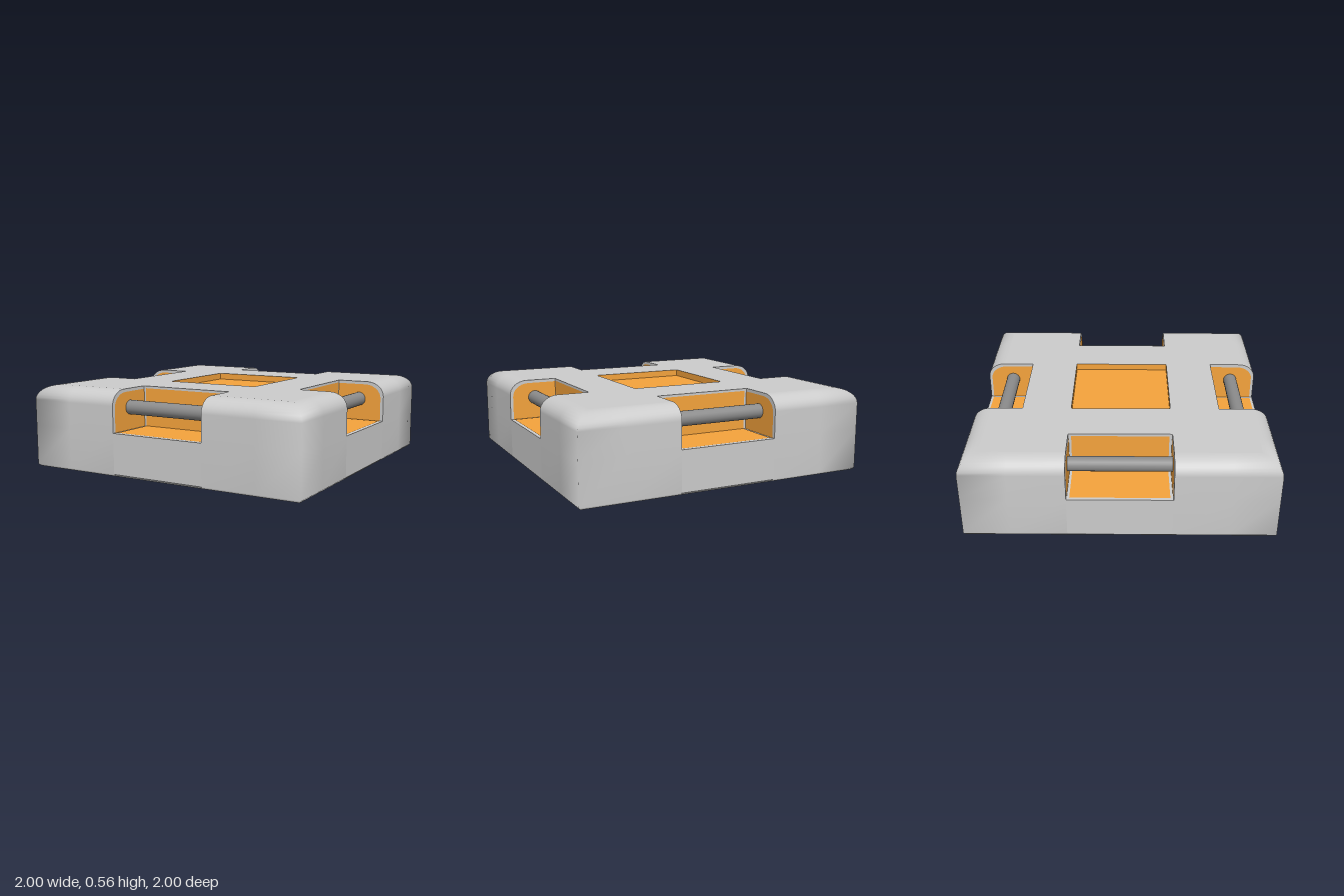
import * as THREE from 'three';

const H = 0.56, HALF = 1;            // body height and half width
const SLOT = 0.335, BACK = 0.665;    // slot half width, slot back wall
const FLOOR = 0.285;                 // slot floor height
const WALL = 0.92, CEIL = 0.2;       // hollow underside
const RX = 0.12, RY = 0.1;           // rounded top edge

const mat = (color) => new THREE.MeshStandardMaterial({ color, side: THREE.DoubleSide });
const grey = mat(0xcccccc);
const orange = mat(0xf5a33c);
const dark = mat(0x8c8c8c);

function add(parent, name, geometry, material, x = 0, y = 0, z = 0) {
  const mesh = new THREE.Mesh(geometry, material);
  mesh.name = name;
  mesh.position.set(x, y, z);
  parent.add(mesh);
  return mesh;
}

const poly = (pts) => new THREE.Shape(pts.map(([x, y]) => new THREE.Vector2(x, y)));
const square = (r) => [[-r, -r], [r, -r], [r, r], [-r, r]];

// Rounded upper edge as [half width, height]
const edge = [];
for (let i = 0; i <= 8; i++) {
  const a = (i / 8) * Math.PI / 2;
  edge.push([HALF - RX + RX * Math.cos(a), H - RY + RY * Math.sin(a)]);
}

// Outer skin around one corner, softly shaded across the upright edge
function cornerGeometry() {
  const rows = [[0.985, 0], [HALF, 0.015], [HALF, FLOOR], ...edge];
  const pos = [], index = [];
  rows.forEach(([w, y]) => {
    [[SLOT, w], [0.7, w], [w, w], [w, 0.7], [w, SLOT]].forEach(([x, z]) => pos.push(x, y, z));
  });
  for (let j = 0; j < rows.length - 1; j++) {
    for (let i = 0; i < 4; i++) {
      const a = j * 5 + i, b = a + 1, c = b + 5, d = a + 5;
      index.push(a, b, c, a, c, d);
    }
  }
  const g = new THREE.BufferGeometry();
  g.setAttribute('position', new THREE.Float32BufferAttribute(pos, 3));
  g.setIndex(index);
  g.computeVertexNormals();
  return g;
}

// Slot cheek in the z-y plane; inset trims its outer and upper borders
function cheekGeometry(inset) {
  const kz = 1 - inset / (HALF - BACK), ky = 1 - inset / (H - FLOOR);
  const pts = [[BACK, FLOOR], [HALF, FLOOR], ...edge, [BACK, H]];
  const shape = poly(pts.map(([z, y]) => [BACK + (z - BACK) * kz, FLOOR + (y - FLOOR) * ky]));
  return new THREE.ShapeGeometry(shape).rotateY(-Math.PI / 2);
}

const flat = (w, d) => new THREE.PlaneGeometry(w, d).rotateX(-Math.PI / 2);

// One side: corner, band below the slot, slot with coloured lining, and bar
function createSide() {
  const side = new THREE.Group();
  side.name = 'side';
  add(side, 'corner', cornerGeometry(), grey);
  add(side, 'lowerBand', new THREE.PlaneGeometry(2 * SLOT, FLOOR - 0.015), grey, 0, (FLOOR + 0.015) / 2, HALF);
  const chamfer = add(side, 'lowerChamfer', new THREE.PlaneGeometry(2 * SLOT, 0.0212), grey, 0, 0.0075, 0.9925);
  chamfer.rotation.x = Math.PI / 4;

  const depth = HALF - BACK, tall = H - FLOOR, e = 0.003;
  add(side, 'slotFloor', flat(2 * SLOT, depth), grey, 0, FLOOR, BACK + depth / 2);
  add(side, 'slotBack', new THREE.PlaneGeometry(2 * SLOT, tall), grey, 0, FLOOR + tall / 2, BACK);
  add(side, 'floorLining', flat(0.63, depth - 0.02), orange, 0, FLOOR + e, BACK + depth / 2 - 0.01);
  add(side, 'backLining', new THREE.PlaneGeometry(0.63, tall - 0.015), orange, 0, FLOOR + tall / 2 - 0.0075, BACK + e);
  for (const s of [-1, 1]) {
    add(side, 'slotCheek', cheekGeometry(0), grey, s * SLOT);
    add(side, 'cheekLining', cheekGeometry(0.02), orange, s * (SLOT - e));
  }
  const bar = new THREE.CylinderGeometry(0.048, 0.048, 2 * SLOT, 24).rotateZ(Math.PI / 2);
  add(side, 'bar', bar, dark, 0, 0.435, 0.82);

  // Inner wall of the hollow underside
  const inner = new THREE.PlaneGeometry(2 * WALL, CEIL).rotateY(Math.PI);
  add(side, 'innerWall', inner, grey, 0, CEIL / 2, WALL);
  // Wall of the central recess
  const recess = new THREE.PlaneGeometry(2 * SLOT, 0.045).rotateY(Math.PI);
  add(side, 'recessWall', recess, orange, 0, H - 0.0225, SLOT);
  return side;
}

export function createModel() {
  const model = new THREE.Group();
  model.name = 'slottedBlock';
  for (let k = 0; k < 4; k++) {
    const side = createSide();
    side.rotation.y = k * Math.PI / 2;
    model.add(side);
  }

  // Top face with four slots and the central opening
  const t = HALF - RX, outline = [];
  for (let k = 0; k < 4; k++) {
    const c = Math.round(Math.cos(k * Math.PI / 2)), s = Math.round(Math.sin(k * Math.PI / 2));
    for (const [x, y] of [[-t, -t], [-SLOT, -t], [-SLOT, -BACK], [SLOT, -BACK], [SLOT, -t]]) {
      outline.push([x * c - y * s, x * s + y * c]);
    }
  }
  const top = poly(outline);
  top.holes.push(poly(square(SLOT)));
  add(model, 'topFace', new THREE.ShapeGeometry(top).rotateX(-Math.PI / 2), grey, 0, H, 0);
  add(model, 'recessFloor', flat(2 * SLOT, 2 * SLOT), orange, 0, H - 0.045, 0);

  // Underside rim and ceiling
  const rim = poly(square(0.985));
  rim.holes.push(poly(square(WALL)));
  add(model, 'bottomRim', new THREE.ShapeGeometry(rim).rotateX(Math.PI / 2), grey);
  add(model, 'innerCeiling', flat(2 * WALL, 2 * WALL).rotateX(Math.PI), grey, 0, CEIL, 0);
  return model;
}
